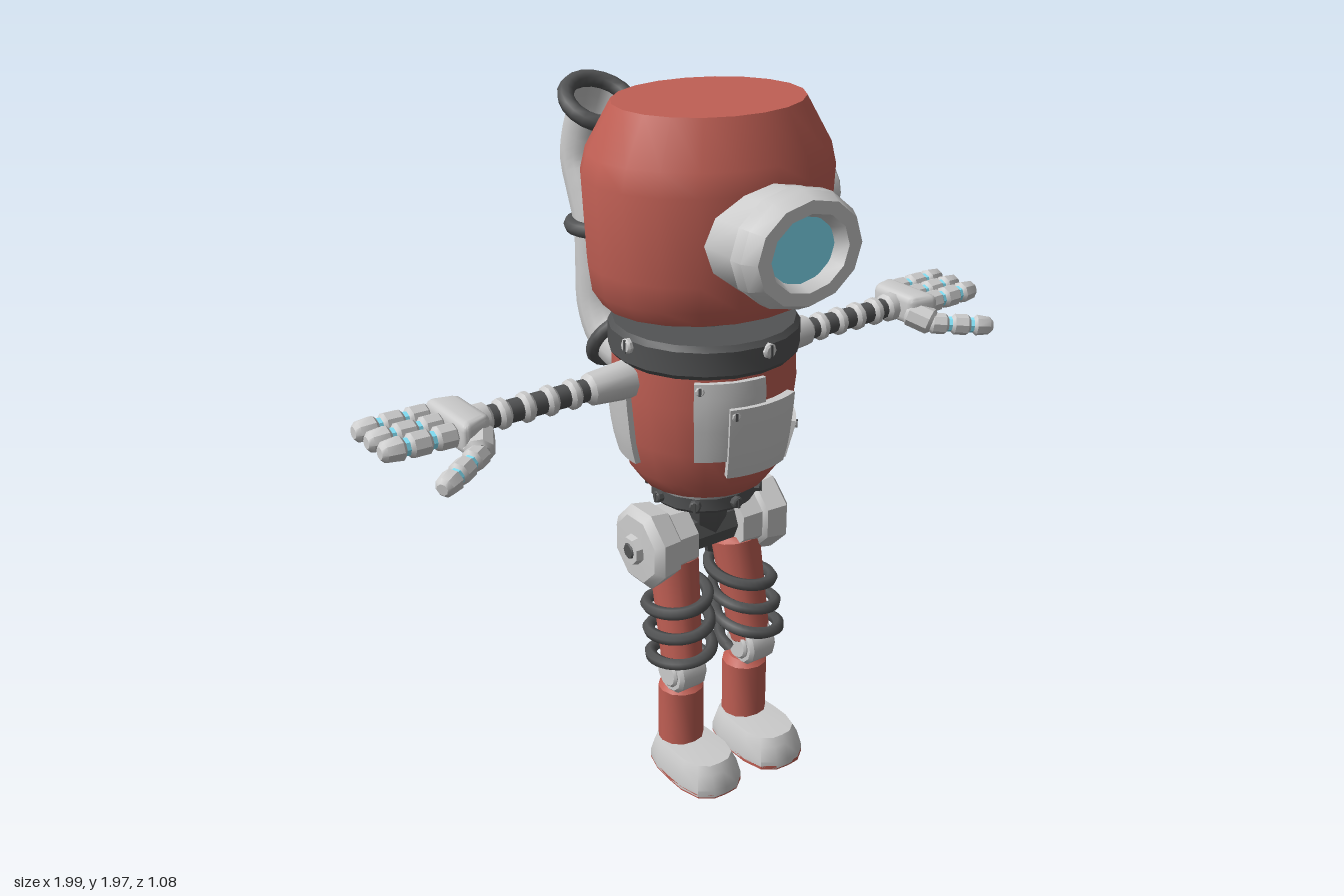
import * as THREE from 'three';
import { toCreasedNormals } from 'three/addons/utils/BufferGeometryUtils.js';
import { RoundedBoxGeometry } from 'three/addons/geometries/RoundedBoxGeometry.js';

const mat = (color) => new THREE.MeshStandardMaterial({ color, side: THREE.DoubleSide });
const GREY = mat(0xcccccc), RED = mat(0xc05f54), DARK = mat(0x525354), BLUE = mat(0x86e8ff), PALE = mat(0xf4f4f4);
const ZC = 0.088; // depth of the body axis
const V = (x, y, z) => new THREE.Vector3(x, y, z);
const UP = V(0, 1, 0);

// Half-profile of the torso, also used to bend the plates onto it
const TORSO = [[0, 0.89], [0.13, 0.89], [0.18, 0.91], [0.215, 0.96], [0.24, 1.06], [0.255, 1.2], [0.25, 1.31], [0, 1.31]];

function torsoRadius(y) {
  for (let i = 2; i < TORSO.length - 1; i++) {
    const [r0, y0] = TORSO[i - 1], [r1, y1] = TORSO[i];
    if (y <= y1) return r0 + (r1 - r0) * Math.max(0, (y - y0) / (y1 - y0));
  }
  return 0.25;
}

export function createModel() {
  const root = new THREE.Group();
  const group = (name) => {
    const g = new THREE.Group();
    g.name = name;
    root.add(g);
    return g;
  };
  const add = (parent, name, geo, material, pos = V(0, 0, 0), crease = 0.65) => {
    const m = new THREE.Mesh(crease ? toCreasedNormals(geo, crease) : geo, material);
    m.name = name;
    m.position.copy(pos);
    parent.add(m);
    return m;
  };
  const lathe = (pts, sides) => new THREE.LatheGeometry(pts.map((p) => new THREE.Vector2(...p)), sides);

  // Rod with bevelled ends between two points
  const rod = (parent, name, a, b, r, material, sides = 10, bevel = 0.25, r2 = r) => {
    const len = a.distanceTo(b), c = Math.min(r * bevel, len / 3);
    const m = add(parent, name, lathe([[0, 0], [r - c, 0], [r, c], [r2, len - c], [r2 - c, len], [0, len]], sides), material, a);
    m.quaternion.setFromUnitVectors(UP, b.clone().sub(a).normalize());
    return m;
  };
  const ring = (parent, name, pos, axis, r, tube, material = DARK) => {
    const m = add(parent, name, new THREE.TorusGeometry(r, tube, 8, 20), material, pos, 0);
    m.quaternion.setFromUnitVectors(V(0, 0, 1), axis.normalize());
  };
  // Slotted bolt pointing away from the body axis
  const bolt = (parent, name, angle, y, radius, r, material) => {
    const dir = V(Math.sin(angle), 0, Math.cos(angle));
    const at = (d) => dir.clone().multiplyScalar(d).add(V(0, y, ZC));
    rod(parent, name, at(radius - 0.02), at(radius + 0.014), r, material, 8);
    add(parent, name + 'Slot', new THREE.BoxGeometry(0.007, r * 1.7, 0.006), DARK, at(radius + 0.013), 0).rotation.y = angle;
  };

  // Head
  const head = group('head');
  const skull = lathe([[0, 1.445], [0.3, 1.447], [0.328, 1.49], [0.338, 1.56], [0.35, 1.79], [0.335, 1.85], [0.265, 1.97], [0, 1.97]], 20);
  skull.scale(1, 1, 0.85);
  add(head, 'skull', skull, RED, V(0, 0, 0.105));
  const eye = lathe([[0.93, 0.33], [0.93, 0.455], [1, 0.465], [1, 0.505], [0.88, 0.543], [0.66, 0.543], [0.54, 0.5]], 12);
  eye.rotateX(Math.PI / 2).scale(0.187, 0.152, 1);
  add(head, 'eyeHousing', eye, GREY, V(-0.02, 1.67, 0));
  add(head, 'eyeLens', new THREE.CircleGeometry(1, 20).scale(0.104, 0.085, 1), BLUE, V(-0.02, 1.67, 0.508), 0);
  rod(head, 'earRim', V(0.29, 1.68, 0.125), V(0.368, 1.68, 0.125), 0.1, GREY, 16, 0.16);
  rod(head, 'earDisc', V(0.34, 1.68, 0.125), V(0.373, 1.68, 0.125), 0.082, PALE, 16, 0.05);

  // Neck spring
  const neck = group('neck');
  rod(neck, 'neckCore', V(0, 1.35, ZC), V(0, 1.47, ZC), 0.085, DARK, 14);
  for (let i = 0; i < 4; i++) ring(neck, 'neckCoil', V(0, 1.385 + i * 0.022, ZC), V(0, 1, 0.08), 0.095, 0.013);

  // Torso, collar and riveted plates
  const torso = group('torso');
  add(torso, 'chest', lathe(TORSO, 20), RED, V(0, 0, ZC));
  add(torso, 'collar', lathe([[0, 1.285], [0.25, 1.285], [0.262, 1.3], [0.262, 1.365], [0.25, 1.38], [0, 1.38]], 20), DARK, V(0, 0, ZC));
  for (let i = 0; i < 4; i++) bolt(torso, 'collarBolt', 0.06 + i * Math.PI / 2, 1.35, 0.258, 0.021, i === 2 ? BLUE : GREY);

  const plate = (name, angle, y, w, h, thick, tilt, lift) => {
    const geo = new THREE.BoxGeometry(w, h, thick, 6, 5, 1).rotateZ(tilt);
    const p = geo.attributes.position;
    for (let i = 0; i < p.count; i++) {
      const a = angle + p.getX(i) / 0.25, py = y + p.getY(i), r = torsoRadius(py) + lift + p.getZ(i);
      p.setXYZ(i, Math.sin(a) * r, py, Math.cos(a) * r);
    }
    add(torso, name, geo, GREY, V(0, 0, ZC));
    const ry = y + h / 2 - 0.02, ra = angle - (w / 2 - 0.015) / 0.25;
    bolt(torso, name + 'Rivet', ra, ry, torsoRadius(ry) + lift, 0.013, GREY);
  };
  plate('upperChestPlate', -0.36, 1.165, 0.19, 0.23, 0.02, 0, 0.003);
  plate('frontChestPlate', 0.01, 1.105, 0.2, 0.21, 0.024, 0, 0.014);
  plate('leftSidePlate', 1.15, 1.025, 0.18, 0.115, 0.02, 0.06, 0.006);
  plate('rightSidePlate', -1.85, 1.105, 0.17, 0.21, 0.02, 0, 0.006);

  // Waist and hips
  const pelvis = group('pelvis');
  rod(pelvis, 'waistRing', V(0, 0.84, ZC), V(0, 0.9, ZC), 0.15, DARK, 16, 0.08);
  for (let i = 0; i < 8; i++) bolt(pelvis, 'waistBolt', i * Math.PI / 4, 0.87, 0.152, 0.017, DARK);
  rod(pelvis, 'waistPost', V(0, 0.72, ZC), V(0, 0.85, ZC), 0.06, DARK, 8, 0.1, 0.08);
  rod(pelvis, 'hipAxle', V(-0.1, 0.73, ZC), V(0.1, 0.73, ZC), 0.062, DARK, 8, 0.05);

  const leg = (s, side) => {
    const g = group(side + 'Leg');
    const hip = lathe([[0, 0.08], [0.095, 0.08], [0.1, 0.145], [0.114, 0.155], [0.125, 0.215], [0.1, 0.236], [0.045, 0.238], [0.04, 0.258], [0, 0.258]], 8);
    hip.rotateY(Math.PI / 8).rotateZ(-s * Math.PI / 2);
    add(g, 'hipJoint', hip, GREY, V(0, 0.73, ZC));
    rod(g, 'hipPin', V(s * 0.24, 0.73, ZC), V(s * 0.262, 0.73, ZC), 0.027, DARK, 8);
    const top = V(s * 0.11, 0.68, 0.095), knee = V(s * 0.125, 0.34, 0.16);
    rod(g, 'thigh', top, knee, 0.072, RED, 12, 0.2, 0.06);

    // Spring wound around the thigh
    const coil = [];
    for (let i = 0; i <= 44; i++) {
      const t = i / 44, a = t * Math.PI * 6.4 - 1.2;
      const c = top.clone().lerp(knee, 0.27 + t * 0.71);
      coil.push(c.add(V(-s * Math.cos(a) * 0.086, 0, Math.sin(a) * 0.098)));
    }
    add(g, 'thighSpring', new THREE.TubeGeometry(new THREE.CatmullRomCurve3(coil), 110, 0.018, 6), DARK, undefined, 0);
    rod(g, 'springHook', coil[0], V(s * 0.045, 0.67, 0.055), 0.018, DARK, 6);

    // Knee, shin and foot
    rod(g, 'kneeJoint', V(s * 0.08, 0.335, 0.16), V(s * 0.175, 0.335, 0.16), 0.066, GREY, 12, 0.15);
    rod(g, 'kneeCap', V(s * 0.07, 0.335, 0.16), V(s * 0.184, 0.335, 0.16), 0.045, GREY, 12, 0.15);
    rod(g, 'shin', V(s * 0.118, 0.07, 0.142), V(s * 0.118, 0.285, 0.142), 0.067, RED, 12, 0.28);
    const foot = lathe([[1, 0.004], [1, 0.025], [0.9, 0.07], [0.8, 0.092], [0, 0.097]], 16);
    const sole = new THREE.CylinderGeometry(1, 1, 0.012, 16).translate(0, 0.006, 0);
    for (const [name, geo, material] of [['foot', foot, GREY], ['sole', sole, RED]]) {
      const p = geo.attributes.position;
      for (let i = 0; i < p.count; i++) { // square off the round outline
        const x = p.getX(i), z = p.getZ(i), k = Math.pow(Math.pow(Math.abs(x), 3) + Math.pow(Math.abs(z), 3), 1 / 3);
        const f = k > 1e-6 ? Math.hypot(x, z) / k : 0;
        p.setXYZ(i, x * f * 0.094 * (1 + 0.06 * z), p.getY(i), z * f * 0.156);
      }
      add(g, name, geo, material, V(s * 0.116, 0, 0.206));
    }
  };

  const arm = (s, side) => {
    const g = group(side + 'Arm');
    const at = (x, y = 1.245, z = 0.08) => V(s * x, y, z);
    rod(g, 'shoulder', at(0.22), at(0.385), 0.055, GREY, 10, 0.3, 0.044);
    rod(g, 'armCore', at(0.3), at(0.72), 0.031, DARK, 10);
    for (let i = 0; i < 5; i++) rod(g, 'armRing', at(0.405 + i * 0.07), at(0.44 + i * 0.07), 0.041, GREY, 10);
    rod(g, 'wrist', at(0.67), at(0.73), 0.042, GREY, 10);

    // Palm tapering toward the wrist
    const palm = new RoundedBoxGeometry(0.09, 0.09, 0.22, 2, 0.022);
    const p = palm.attributes.position;
    for (let i = 0; i < p.count; i++) {
      const k = 1 - Math.max(0, 0.045 - p.getX(i) * s) * 2.8;
      p.setZ(i, p.getZ(i) * k);
    }
    add(g, 'palm', palm, GREY, at(0.75, 1.248, 0.08));

    // Fingers and thumb in three segments over blue joints
    const digit = (name, a, b, r) => {
      rod(g, name + 'Joint', a.clone().lerp(b, 0.02), a.clone().lerp(b, 0.9), r * 0.72, BLUE, 8);
      for (let i = 0; i < 3; i++) {
        rod(g, name + 'Segment', a.clone().lerp(b, i / 3 + 0.015), a.clone().lerp(b, (i + 1) / 3 - 0.015), r, GREY, 8, 0.35, i === 2 ? r * 0.85 : r);
      }
    };
    for (const z of [-0.012, 0.06, 0.132]) digit('finger', at(0.785, 1.25, z), at(0.998, 1.255, z), 0.033);
    rod(g, 'thumbBase', at(0.725, 1.24, 0.13), at(0.765, 1.215, 0.2), 0.04, GREY, 8);
    digit('thumb', at(0.75, 1.215, 0.19), at(0.92, 1.2, 0.295), 0.031);
  };
  for (const [s, side] of [[1, 'left'], [-1, 'right']]) {
    leg(s, side);
    arm(s, side);
  }

  // Exhaust pipe on the back
  const exhaust = group('exhaustPipe');
  const X = -0.01;
  rod(exhaust, 'pipeSocket', V(X, 1.17, -0.11), V(X, 1.17, -0.215), 0.09, GREY, 8, 0.2);
  const path = [[1.17, -0.17], [1.17, -0.27], [1.2, -0.345], [1.28, -0.39], [1.4, -0.393], [1.52, -0.395], [1.62, -0.43], [1.7, -0.457], [1.78, -0.44], [1.88, -0.39]];
  const curve = new THREE.CatmullRomCurve3(path.map(([y, z]) => V(X, y, z)));
  add(exhaust, 'pipe', new THREE.TubeGeometry(curve, 32, 0.081, 14), GREY, undefined, 0);
  ring(exhaust, 'lowerBand', V(X, 1.185, -0.312), V(0, 0.52, -0.85), 0.09, 0.021);
  ring(exhaust, 'middleBand', V(X, 1.515, -0.393), V(0, 1, 0), 0.088, 0.023);
  ring(exhaust, 'mouthBand', V(X, 1.868, -0.393), V(0, 0.86, 0.51), 0.097, 0.024);

  return root;
}
